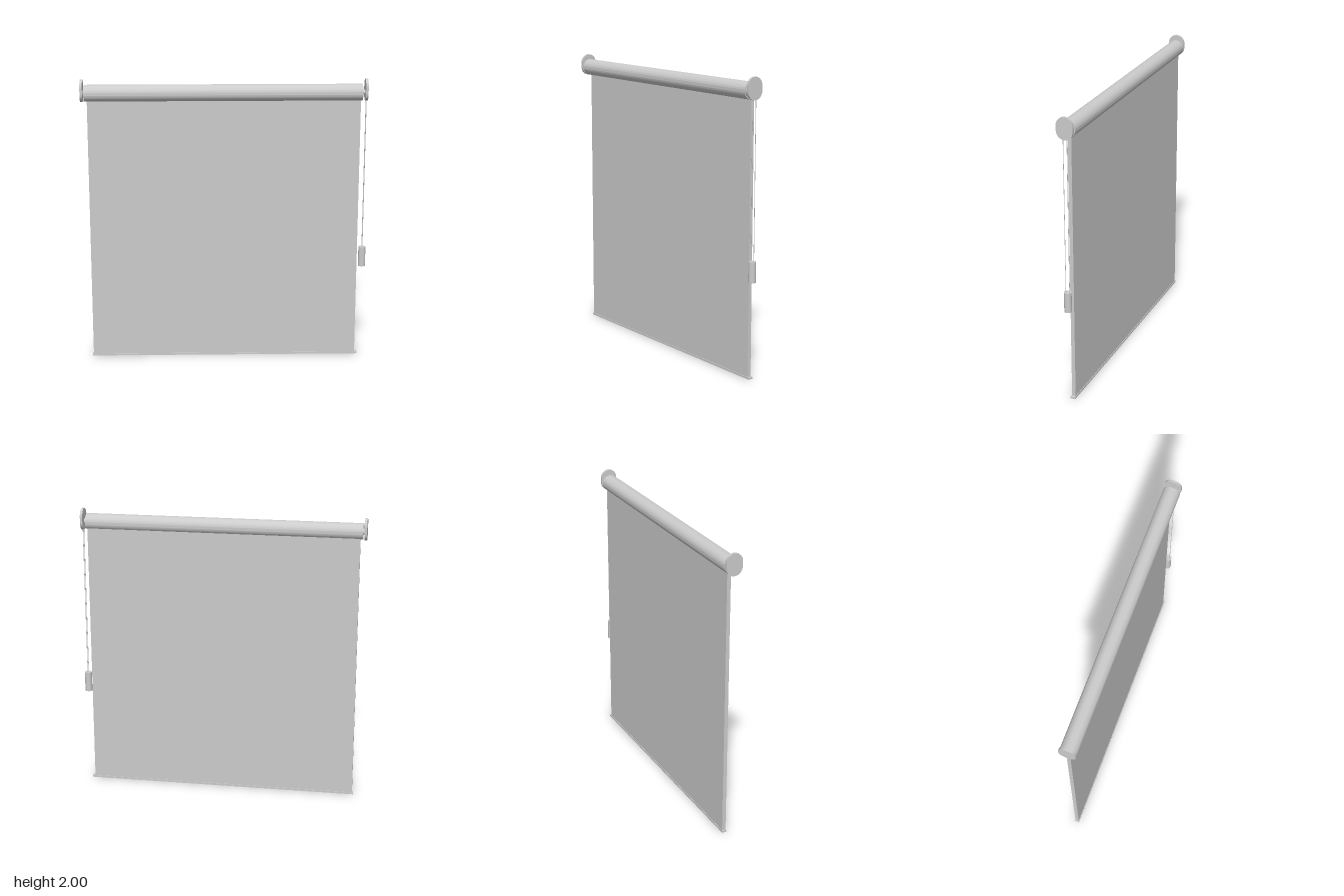
import * as THREE from 'three';
import { toCreasedNormals } from 'three/addons/utils/BufferGeometryUtils.js';

const TUBE_Y = 1.908;

export function createModel() {
  const model = new THREE.Group();
  const material = new THREE.MeshStandardMaterial({ color: 0xcccccc, side: THREE.DoubleSide });

  const add = (name, geometry, x = 0, y = 0, z = 0) => {
    const mesh = new THREE.Mesh(geometry, material);
    mesh.name = name;
    mesh.position.set(x, y, z);
    model.add(mesh);
    return mesh;
  };

  // Extrudes a side profile along x (profile x points to the back)
  const extrudeX = (shape, length) => {
    const g = new THREE.ExtrudeGeometry(shape, { depth: length, bevelEnabled: false, curveSegments: 40 });
    g.rotateY(Math.PI / 2);
    return toCreasedNormals(g, 0.6);
  };

  const rodX = (radius, length) => new THREE.CylinderGeometry(radius, radius, length, 32).rotateZ(Math.PI / 2);

  // Round cassette with a slot at the lower back for the fabric
  const start = -Math.PI / 4, end = Math.PI * 1.5;
  const shell = new THREE.Shape();
  shell.absarc(0, 0, 0.057, start, end, false);
  shell.absarc(0, 0, 0.051, end, start, true);
  shell.closePath();
  add('cassette', extrudeX(shell, 1.9), -0.965, TUBE_Y);

  // Roller inside and the spindle carrying it
  add('roller', rodX(0.036, 1.88), -0.015, TUBE_Y);
  add('spindle', rodX(0.018, 1.93), -0.01, TUBE_Y);

  // Rounded end brackets
  const plate = new THREE.Shape();
  plate.absarc(0, 0.018, 0.057, 0, Math.PI, false);
  plate.absarc(0, -0.018, 0.057, Math.PI, Math.PI * 2, false);
  plate.closePath();
  add('rightBracket', extrudeX(plate, 0.017), -0.99, 1.925);
  add('leftBracket', extrudeX(plate, 0.017), 0.953, 1.925);

  // Fabric and its bottom bar
  add('fabric', new THREE.BoxGeometry(1.874, 1.885, 0.026), -0.01, 0.9525, -0.014);
  add('bottomBar', new THREE.BoxGeometry(1.9, 0.014, 0.034), -0.005, 0.007, -0.014);

  // Pull cords and weight
  for (const z of [0.013, -0.013]) {
    add('cord', new THREE.CylinderGeometry(0.002, 0.002, 1.07, 8), 0.962, 1.335, z);
  }
  add('cordWeight', new THREE.CylinderGeometry(0.025, 0.025, 0.14, 32), 0.962, 0.735, 0);

  return model;
}
